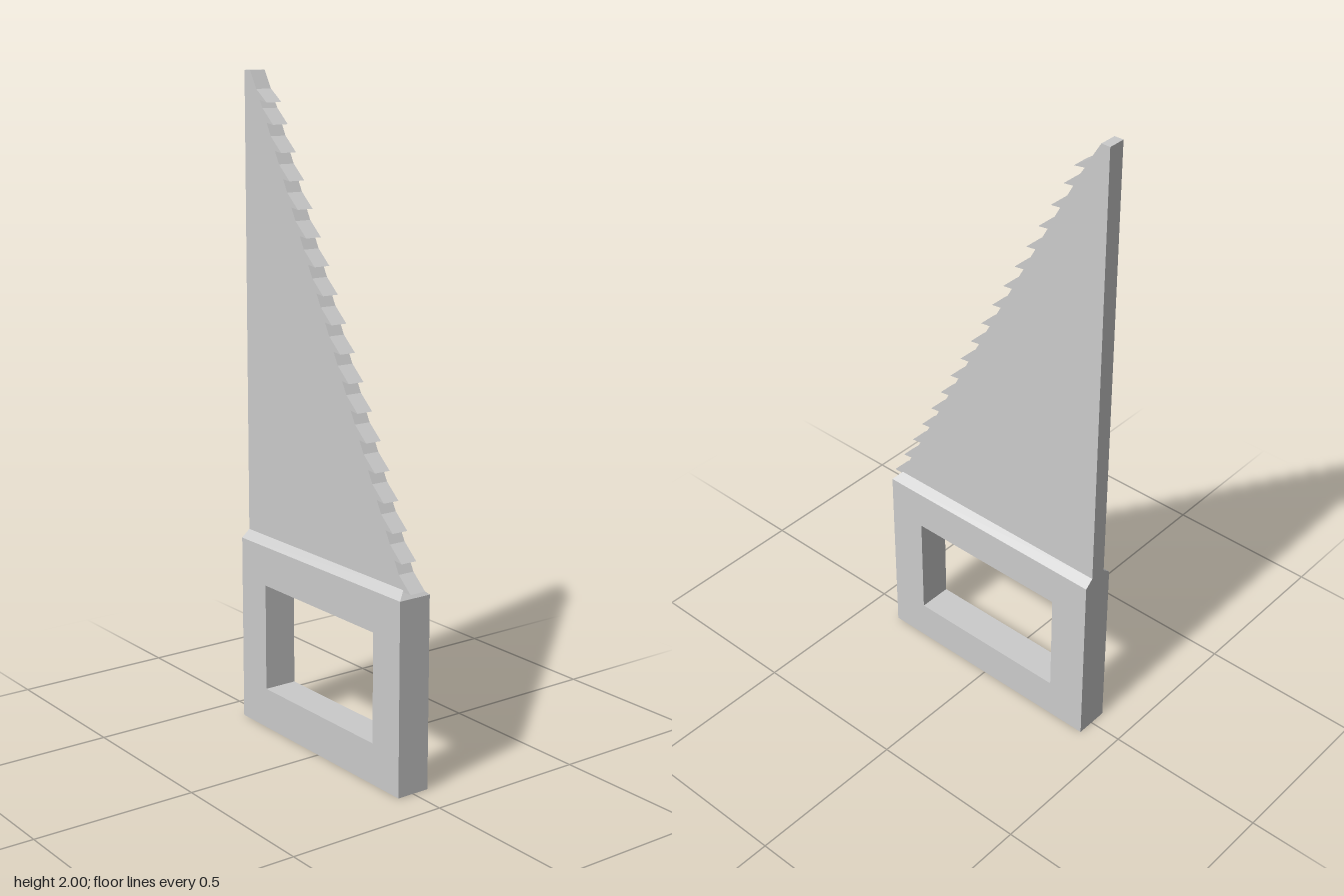
import * as THREE from 'three';

const material = new THREE.MeshStandardMaterial({ color: 0xcccccc, flatShading: true });
const BACK = -0.395;

// Side profile given as [z, y] points, extruded across x and centred on it
function sidePlate(name, outline, thickness, hole) {
  const toPoints = (list) => list.map(([z, y]) => new THREE.Vector2(-z, y));
  const shape = new THREE.Shape(toPoints(outline));
  if (hole) shape.holes.push(new THREE.Path(toPoints(hole)));
  const geometry = new THREE.ExtrudeGeometry(shape, { depth: thickness, bevelEnabled: false });
  geometry.translate(0, 0, -thickness / 2).rotateY(Math.PI / 2);
  const mesh = new THREE.Mesh(geometry, material);
  mesh.name = name;
  return mesh;
}

const rectangle = (z0, z1, y0, y1) => [[z0, y0], [z1, y0], [z1, y1], [z0, y1]];

export function createModel() {
  const group = new THREE.Group();
  group.name = 'handSaw';

  // Handle with a rectangular grip opening
  group.add(sidePlate('handle', rectangle(0.383, BACK, 0, 0.583), 0.106,
    rectangle(0.263, -0.27, 0.126, 0.46)));

  // Bevelled shoulder: a box whose top narrows at the sides and the front
  const length = 0.383 - BACK;
  const shoulder = new THREE.BoxGeometry(0.106, 0.023, length);
  shoulder.translate(0, 0.5945, BACK + length / 2);
  const p = shoulder.attributes.position;
  for (let i = 0; i < p.count; i++) {
    if (p.getY(i) < 0.59) continue;
    p.setX(i, Math.sign(p.getX(i)) * 0.026);
    if (p.getZ(i) > 0) p.setZ(i, 0.363);
  }
  shoulder.computeVertexNormals();
  const shoulderMesh = new THREE.Mesh(shoulder, material);
  shoulderMesh.name = 'handleShoulder';
  group.add(shoulderMesh);

  // Tapered blade: each tooth is a tip, a knee and a valley under the next tip
  const teeth = 17, stepZ = 0.0404, stepY = 0.078;
  const outline = [[BACK, 0.6]];
  for (let i = 0; i < teeth; i++) {
    const z = 0.395 - i * stepZ, y = 0.6 + i * stepY;
    outline.push([z, y], [z - 0.052, y + 0.045], [z - 0.072, y + 0.082]);
  }
  // Shorter last tooth runs out to the blade's square tip
  outline.pop();
  outline.push([-0.318, 1.916], [-0.283, 1.91], [-0.335, 1.947], [-0.367, 2], [BACK, 2]);
  group.add(sidePlate('toothedBlade', outline, 0.052));

  return group;
}
